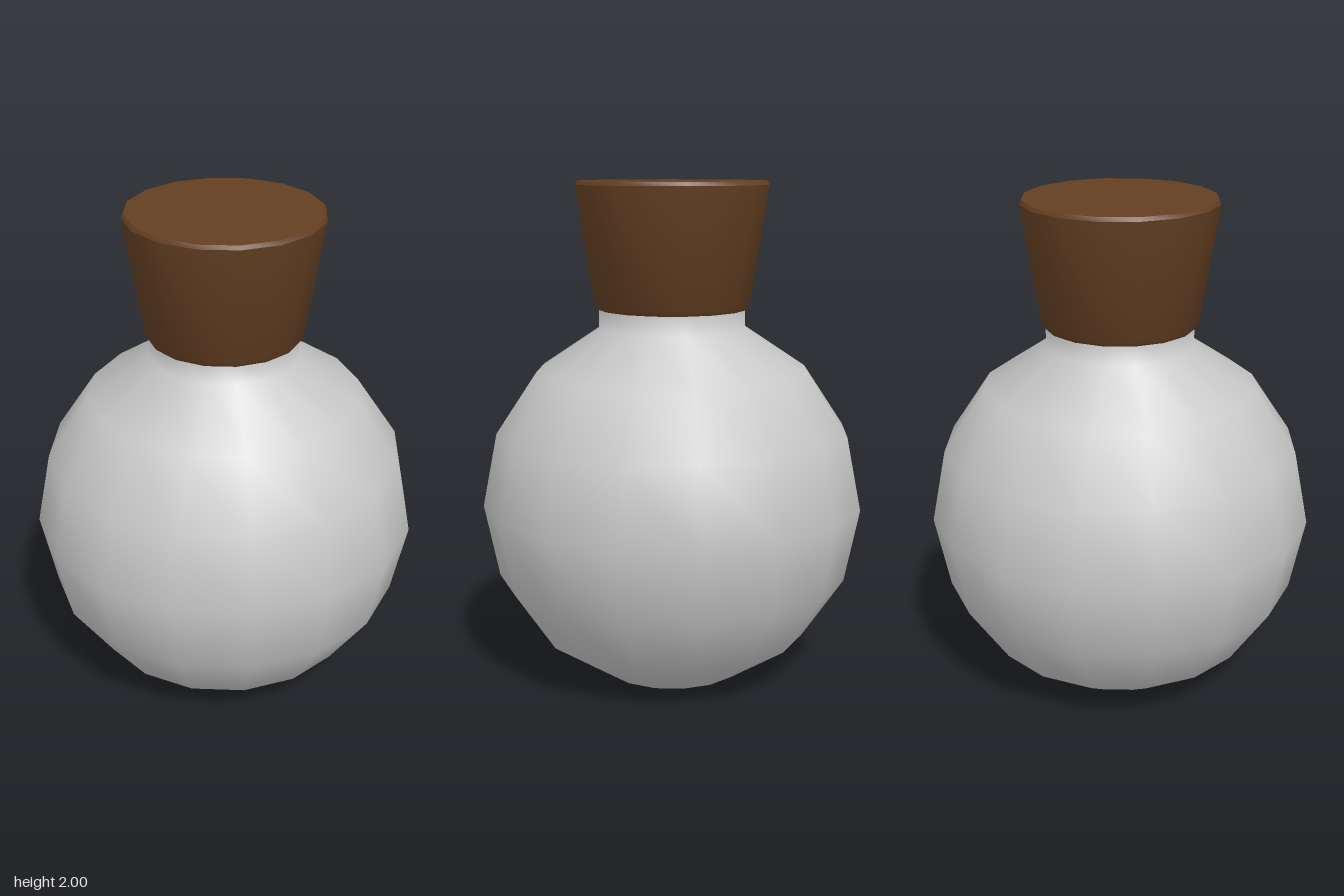
import * as THREE from 'three';
import { toCreasedNormals } from 'three/addons/utils/BufferGeometryUtils.js';

const SIDES = 16;
const glass = new THREE.MeshStandardMaterial({ name: 'pale grey glass', color: 0xc8c8c8 });
const corkBrown = new THREE.MeshStandardMaterial({ name: 'cork brown', color: 0x643f22 });

function lathe(name, points, material, crease) {
  let geometry = new THREE.LatheGeometry(points.map(([r, y]) => new THREE.Vector2(r, y)), SIDES);
  if (crease) geometry = toCreasedNormals(geometry, crease);
  const mesh = new THREE.Mesh(geometry, material);
  mesh.name = name;
  return mesh;
}

export function createModel() {
  const group = new THREE.Group();
  group.name = 'corkedFlask';

  // Round body: a faceted sphere with both poles cut off, running into the neck
  const radius = 0.77, centre = 0.713;
  const body = [[0, 0]];
  for (let i = 1; i <= 7; i++) {
    const a = (i * Math.PI) / 8;
    body.push([radius * Math.sin(a), Math.max(0, centre - radius * Math.cos(a))]);
  }
  body.push([0.295, 1.53]);
  group.add(lathe('flaskBody', body, glass));

  // Tapered stopper with slightly bevelled rims
  group.add(lathe('corkStopper', [
    [0, 1.5], [0.3, 1.5], [0.31, 1.515], [0.385, 1.985], [0.377, 2], [0, 2],
  ], corkBrown, 0.6));

  return group;
}
